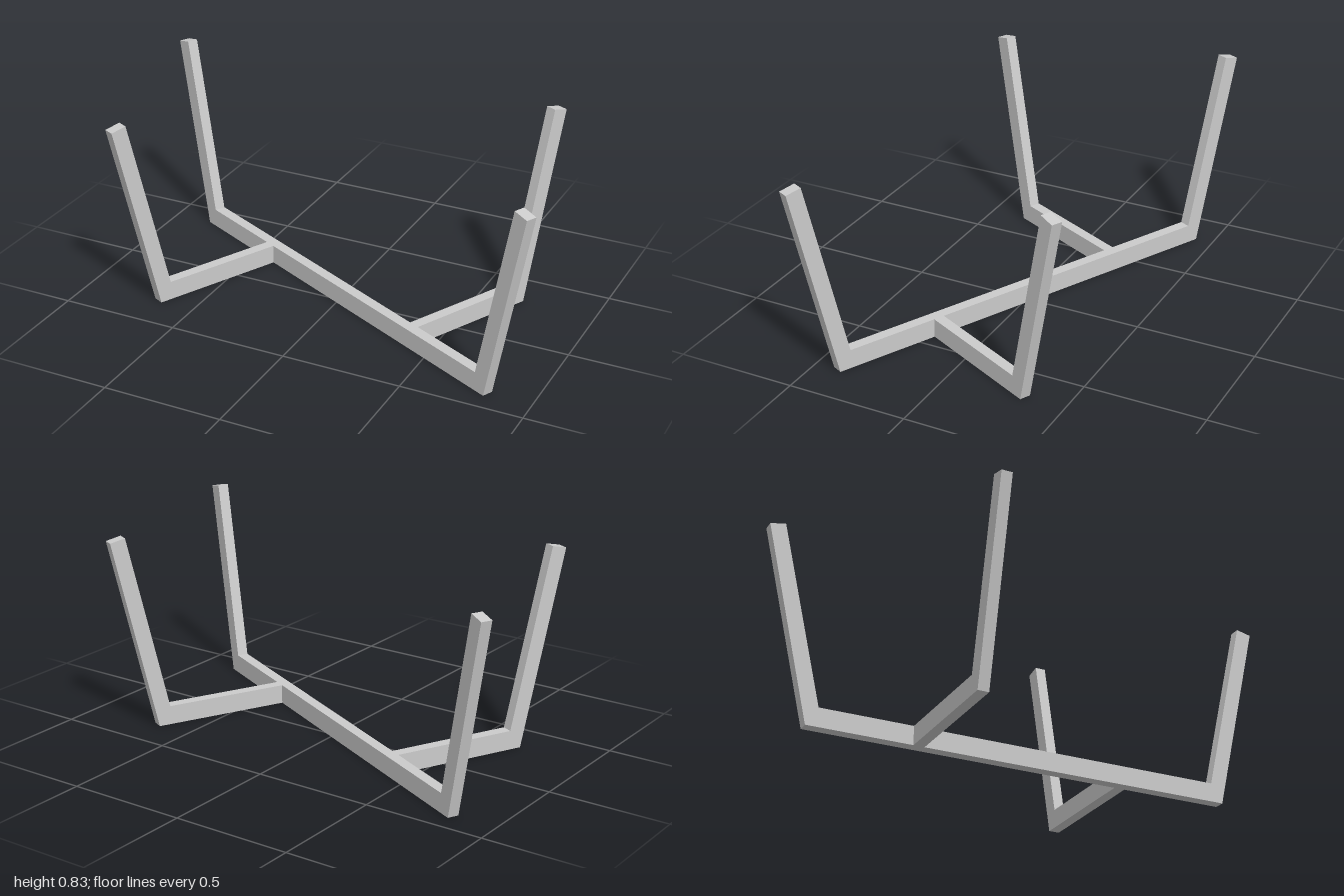
import * as THREE from 'three';

const WIDTH = 0.046;   // thickness of every bar
const BAR = 0.08;      // height of the base bars
const material = new THREE.MeshStandardMaterial({ color: 0xcccccc, flatShading: true });

// Outline of a foot at distance r: bar end plus an outward-leaning post cut square at its top
const armOutline = (r) => [
  [r, 0], [r + 0.186, 0.812], [r + 0.122, 0.826], [r - 0.05, BAR],
];

// Extrudes an outline in the xy plane, centred on z
function makeBar(name, points) {
  const shape = new THREE.Shape(points.map(([x, y]) => new THREE.Vector2(x, y)));
  const geometry = new THREE.ExtrudeGeometry(shape, { depth: WIDTH, bevelEnabled: false });
  geometry.translate(0, 0, -WIDTH / 2);
  const mesh = new THREE.Mesh(geometry, material);
  mesh.name = name;
  return mesh;
}

export function createModel() {
  const model = new THREE.Group();
  model.name = 'standFrame';

  // Long beam with a post at each end
  const half = armOutline(0.914);
  const mirrored = half.map(([x, y]) => [-x, y]).reverse();
  model.add(makeBar('mainBeam', [...half, ...mirrored]));

  // Two side arms, the second turned half a circle about the centre
  for (let i = 0; i < 2; i++) {
    const pivot = new THREE.Group();
    pivot.name = i ? 'frontArm' : 'backArm';
    const arm = makeBar('sideArm', [[WIDTH / 2, 0], ...armOutline(0.593), [WIDTH / 2, BAR]]);
    arm.position.x = 0.452;
    arm.rotation.y = Math.PI / 2;
    pivot.add(arm);
    pivot.rotation.y = i * Math.PI;
    model.add(pivot);
  }

  // The whole frame stands diagonally
  model.rotation.y = -0.456;
  const root = new THREE.Group();
  root.add(model);
  return root;
}
